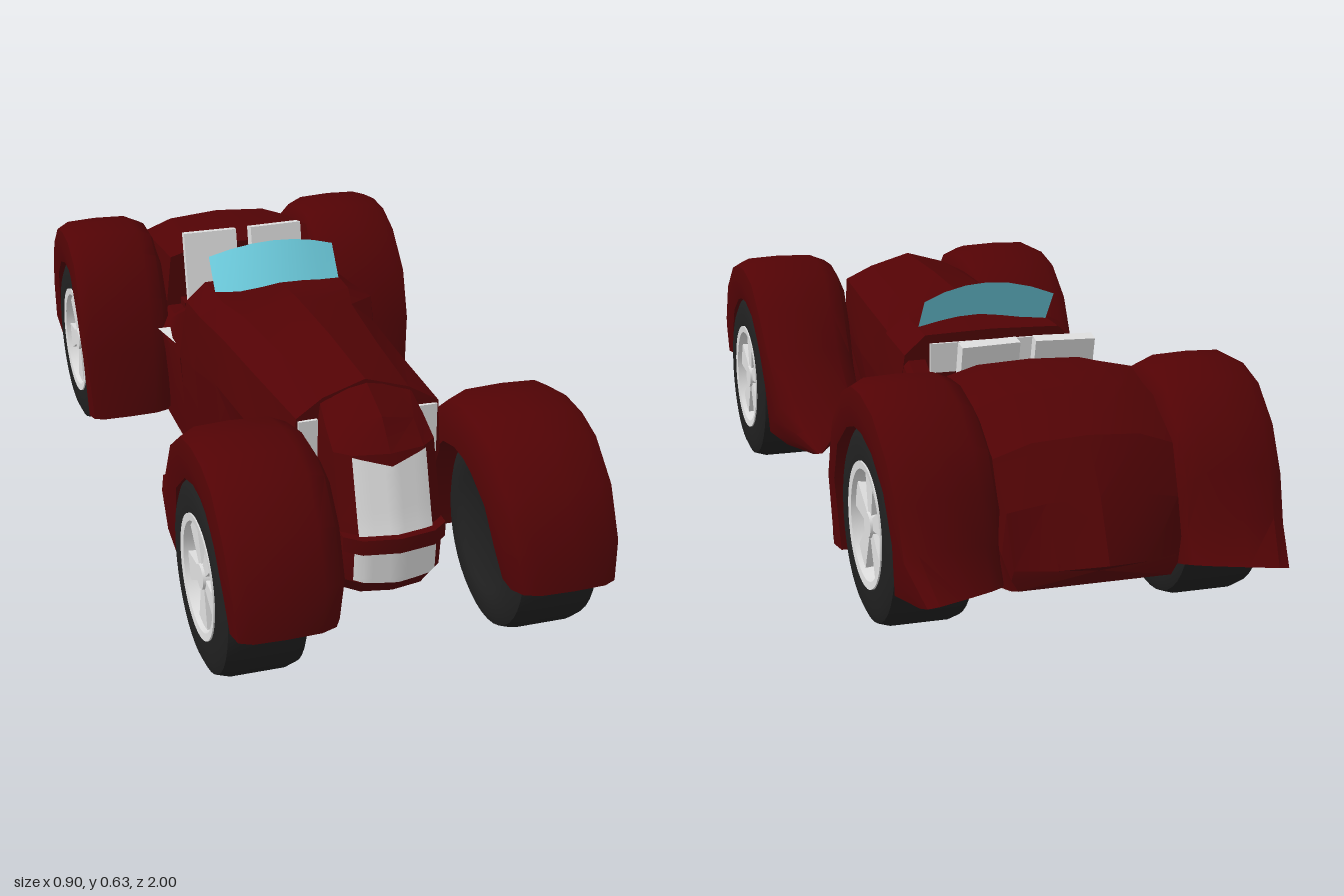
import * as THREE from 'three';
import { toCreasedNormals } from 'three/addons/utils/BufferGeometryUtils.js';

const mat = (name, color, side = THREE.FrontSide) => {
  const m = new THREE.MeshStandardMaterial({ color, side });
  m.name = name;
  return m;
};

// Closed solid through rings of [x, y, z] points; faces always turned outward
function loft(rings, crease = 0.55) {
  const n = rings[0].length, pos = rings.flat(2), idx = [];
  for (let i = 0; i < rings.length - 1; i++)
    for (let j = 0; j < n; j++) {
      const a = i * n + j, b = i * n + (j + 1) % n;
      idx.push(a, b, b + n, a, b + n, a + n);
    }
  [0, rings.length - 1].forEach((r, end) => {
    const c = pos.length / 3;
    for (let k = 0; k < 3; k++) pos.push(rings[r].reduce((s, p) => s + p[k], 0) / n);
    for (let j = 0; j < n; j++) {
      const a = r * n + j, b = r * n + (j + 1) % n;
      idx.push(...(end ? [a, b, c] : [b, a, c]));
    }
  });
  const v = (i) => new THREE.Vector3().fromArray(pos, i * 3);
  let volume = 0;
  for (let i = 0; i < idx.length; i += 3) volume += v(idx[i]).dot(v(idx[i + 1]).cross(v(idx[i + 2])));
  if (volume < 0) idx.reverse();
  const g = new THREE.BufferGeometry();
  g.setAttribute('position', new THREE.Float32BufferAttribute(pos, 3));
  g.setIndex(idx);
  return toCreasedNormals(g, crease);
}

// Symmetric body ring from half a section listed top centre to bottom; point = [x, y, dz]
const bodyRing = (z, half) => {
  const right = half.map(([x, y, dz = 0]) => [x, y, z + dz]);
  const left = right.filter((p) => p[0] > 0).map(([x, y, w]) => [-x, y, w]).reverse();
  return [...right, ...left];
};

// Fender station: top edge, wheel-arch edge, inner and outer x, and how far the inner side is swept in z
const fenderRing = (s, [zt, yt, zl, yl, xi, xo, skew = 0]) => {
  const w = xo - xi;
  return [[xo - 0.04 * w, 0], [xo, 0.4], [xo - 0.03 * w, 0.82], [xo - 0.15 * w, 0.97], [xo - 0.45 * w, 1],
    [xi + 0.22 * w, 0.97], [xi + 0.07 * w, 0.82], [xi, 0.5], [xi, 0]].map(([x, t]) =>
    [s * x, yl + (yt - yl) * t, zl + (zt - zl) * t + skew * (xo - x) / w]);
};

// Grille shell outline: height, front z, half width
const SHELL = [[0.15, 0.75, 0.1], [0.19, 0.78, 0.112], [0.28, 0.785, 0.115], [0.33, 0.765, 0.115],
  [0.47, 0.72, 0.115], [0.53, 0.66, 0.112], [0.565, 0.56, 0.105]];
const noseZ = (zf, u) => zf - (u < 0.7 ? u / 0.7 * 0.014 : 0.014 + (u - 0.7) / 0.3 * 0.03);
const NOSE_U = [-1, -0.7, 0, 0.7, 1];
function shellZ(x, y) {
  const i = Math.max(1, SHELL.findIndex((r) => r[0] >= y));
  const [a, b] = [SHELL[i - 1], SHELL[i]], t = (y - a[0]) / (b[0] - a[0]);
  return noseZ(a[1] + (b[1] - a[1]) * t, Math.abs(x) / (a[2] + (b[2] - a[2]) * t));
}

// Plane bent by a rule (u -1..1, v 0..1) => [x, y, z]
function sheet(nu, nv, rule) {
  const g = new THREE.PlaneGeometry(2, 1, nu, nv), p = g.attributes.position;
  for (let i = 0; i < p.count; i++) p.setXYZ(i, ...rule(p.getX(i), p.getY(i) + 0.5));
  g.computeVertexNormals();
  return g;
}

export function createModel() {
  const root = new THREE.Group();
  const red = mat('dark red paint', 0x520305), white = mat('pale trim', 0xdedede);
  const rubber = mat('black rubber', 0x202020), steel = mat('brake steel', 0x505050);
  const glass = mat('blue glass', 0x70d2e4, THREE.DoubleSide);
  const add = (name, geo, material, parent = root) => {
    const m = new THREE.Mesh(geo, material);
    m.name = name;
    parent.add(m);
    return m;
  };
  const box = (name, w, h, d, x, y, z, material) => {
    const m = add(name, new THREE.BoxGeometry(w, h, d), material);
    m.position.set(x, y, z);
    return m;
  };

  // Bonnet and cowl
  add('bonnet', loft([
    bodyRing(0.57, [[0, 0.57, -0.02], [0.1, 0.54, -0.015], [0.165, 0.505], [0.172, 0.38], [0.11, 0.15]]),
    bodyRing(0.3, [[0, 0.57], [0.115, 0.535], [0.178, 0.49], [0.198, 0.37], [0.14, 0.112]]),
    bodyRing(0.06, [[0, 0.56], [0.135, 0.53], [0.19, 0.48], [0.208, 0.36], [0.19, 0.09]]),
    bodyRing(-0.04, [[0, 0.55], [0.16, 0.53], [0.22, 0.5], [0.235, 0.36], [0.215, 0.077]]),
    bodyRing(-0.19, [[0, 0.53], [0.165, 0.525], [0.215, 0.48], [0.235, 0.34], [0.22, 0.07]]),
  ], 0.3), red);

  // Cockpit sides with cut-down doors, pale sill wedges and seat backs
  for (const s of [1, -1]) {
    const name = s > 0 ? 'left' : 'right';
    add(name + 'Door', loft([[-0.185, 0.47, 0.218], [-0.28, 0.42, 0.214], [-0.38, 0.365, 0.212], [-0.46, 0.36, 0.21]]
      .map(([z, y, x]) => [[s * x, y - 0.012, z], [s * (x - 0.012), y, z], [s * 0.165, y, z],
        [s * 0.165, 0.071, z], [s * 0.215, 0.071, z], [s * 0.236, 0.325, z]])), red);
    add(name + 'SillWedge', loft([[-0.2, 0.222], [-0.35, 0.252]].map(([z, x]) =>
      [[s * x, 0.343, z], [s * x, 0.342, z], [s * 0.2, 0.342, z], [s * 0.2, 0.343, z]])), white);
    box(name + 'BonnetGrille', 0.044, 0.118, 0.008, s * 0.139, 0.44, 0.572, white);
    const seat = box(name + 'SeatBack', 0.138, 0.225, 0.03, s * 0.088, 0.452, -0.415, white);
    seat.rotation.set(-0.22, s * 0.06, 0);
  }
  box('cockpitFloor', 0.33, 0.03, 0.26, 0, 0.34, -0.3, white);
  box('seatBulkhead', 0.33, 0.1, 0.05, 0, 0.33, -0.43, red);
  box('dashboard', 0.31, 0.07, 0.008, 0, 0.47, -0.194, white);

  // Rear deck running down to a pointed tail
  add('rearDeck', loft([
    bodyRing(-0.45, [[0, 0.52], [0.12, 0.515], [0.19, 0.495], [0.21, 0.3], [0.2, 0.07]]),
    bodyRing(-0.54, [[0, 0.53], [0.13, 0.528], [0.21, 0.51], [0.215, 0.3], [0.2, 0.082]]),
    bodyRing(-0.69, [[0, 0.52], [0.13, 0.51], [0.21, 0.48], [0.215, 0.3], [0.2, 0.11]]),
    bodyRing(-0.81, [[0, 0.45, -0.02], [0.12, 0.44, -0.01], [0.2, 0.41], [0.21, 0.28], [0.19, 0.13]]),
    bodyRing(-0.87, [[0, 0.34, -0.04], [0.11, 0.33, -0.02], [0.19, 0.31], [0.2, 0.22], [0.18, 0.14]]),
    bodyRing(-0.89, [[0, 0.21, -0.08], [0.1, 0.2, -0.05], [0.18, 0.19], [0.185, 0.17], [0.17, 0.145]]),
  ], 0.35), red);

  // Pale underside, a thin skin under the whole body
  add('underside', loft([[0.57, 0.15, 0.11], [0.3, 0.112, 0.14], [0.06, 0.09, 0.19], [-0.04, 0.077, 0.215],
    [-0.19, 0.07, 0.22], [-0.45, 0.07, 0.21], [-0.54, 0.082, 0.2], [-0.69, 0.11, 0.2], [-0.81, 0.13, 0.19],
    [-0.86, 0.139, 0.18]].map(([z, y, w]) =>
    [[w, y - 0.001, z], [-w, y - 0.001, z], [-w, y - 0.003, z], [w, y - 0.003, z]])), white);

  // Upright nose shell with two bowed grille panels and a bar between them
  add('grilleShell', loft(SHELL.map(([y, zf, w]) => [[-w, y - (y > 0.5 ? 0.03 : 0), 0.54],
    ...NOSE_U.map((u) => [u * w, y - (y > 0.5 ? 0.03 * Math.abs(u) : 0), Math.max(0.545, noseZ(zf, Math.abs(u)))]),
    [w, y - (y > 0.5 ? 0.03 : 0), 0.54]]), 0.4), red);
  add('grilleBar', loft([0.27, 0.305].map((y) => [[-0.117, y, 0.66],
    ...NOSE_U.map((u) => [u * 0.117, y, noseZ(0.8, Math.abs(u))]), [0.117, y, 0.66]])), red);
  // Bowed panel with a notched top edge and a dipped bottom edge
  const panel = (name, w, y0, y1, notch, dip) => add(name, sheet(10, 8, (u, v) => {
    const x = u * w, y = y0 + dip * u * u * (1 - v) + (y1 - y0 - notch * (1 - Math.abs(u))) * v;
    return [x, y, shellZ(x, y) + 0.006];
  }), white);
  panel('upperGrille', 0.084, 0.3, 0.468, 0.022, 0);
  panel('lowerGrille', 0.094, 0.19, 0.275, 0, 0.006);

  // Curved windscreen set into the cowl
  add('windscreen', sheet(6, 1, (u, v) => {
    const c = 1 - u * u;
    return [u * 0.16, 0.515 + 0.02 * c + v * (0.085 + 0.013 * c), -0.105 + 0.02 * c - 0.065 * v];
  }), glass);

  // Fenders
  const front = [
    [1.0, 0.235, 0.908, 0.235, 0.19, 0.422], [0.99, 0.33, 0.888, 0.306, 0.175, 0.43],
    [0.93, 0.44, 0.84, 0.378, 0.17, 0.434], [0.84, 0.518, 0.771, 0.423, 0.165, 0.434],
    [0.76, 0.541, 0.728, 0.435, 0.165, 0.434], [0.67, 0.544, 0.671, 0.437, 0.165, 0.434],
    [0.57, 0.525, 0.594, 0.414, 0.17, 0.433], [0.47, 0.455, 0.51, 0.346, 0.18, 0.432],
    [0.39, 0.36, 0.474, 0.25, 0.185, 0.425], [0.28, 0.26, 0.47, 0.125, 0.18, 0.415],
    [0.2, 0.2, 0.34, 0.125, 0.25, 0.392], [0.11, 0.165, 0.16, 0.15, 0.345, 0.36]];
  const rear = [
    [-0.33, 0.11, -0.415, 0.1, 0.22, 0.437], [-0.355, 0.28, -0.395, 0.265, 0.215, 0.447],
    [-0.4, 0.41, -0.442, 0.358, 0.21, 0.45], [-0.48, 0.505, -0.518, 0.418, 0.205, 0.447],
    [-0.56, 0.54, -0.58, 0.437, 0.2, 0.446], [-0.64, 0.543, -0.64, 0.437, 0.2, 0.445],
    [-0.73, 0.52, -0.712, 0.412, 0.2, 0.442], [-0.82, 0.45, -0.784, 0.35, 0.195, 0.437],
    [-0.885, 0.36, -0.824, 0.25, 0.195, 0.43, 0.01], [-0.925, 0.26, -0.825, 0.14, 0.195, 0.425, 0.03],
    [-1.01, 0.175, -0.92, 0.15, 0.2, 0.4, 0.08]];

  // Wheel parts, spinning about y and turned outward later
  const lathe = (pts) => toCreasedNormals(new THREE.LatheGeometry(pts.map((p) => new THREE.Vector2(...p)), 40), 0.6);
  const tyreGeo = lathe([[0, -0.09], [0.13, -0.09], [0.14, -0.096], [0.19, -0.096], [0.212, -0.086], [0.22, -0.06],
    [0.22, 0.06], [0.212, 0.086], [0.19, 0.096], [0.14, 0.094], [0.135, 0.05], [0, 0.05]]);
  const rimGeo = lathe([[0.137, 0.05], [0.139, 0.097], [0.122, 0.095], [0.116, 0.05]]);
  const spokeGeo = new THREE.ExtrudeGeometry(new THREE.Shape([[0.02, -0.012], [0.12, -0.034], [0.12, 0.034], [0.02, 0.012]]
    .map((p) => new THREE.Vector2(...p))), { depth: 0.02, bevelEnabled: false }).rotateX(-Math.PI / 2);
  const hubGeo = new THREE.CylinderGeometry(0.028, 0.032, 0.03, 20);
  const discGeo = new THREE.CylinderGeometry(0.09, 0.09, 0.012, 32);

  for (const [end, z, stations] of [['front', 0.69, front], ['rear', -0.61, rear]])
    for (const s of [1, -1]) {
      add(end + 'Fender', loft(stations.map((st) => fenderRing(s, st)), 0.75), red);
      const wheel = new THREE.Group();
      wheel.name = end + 'Wheel';
      add('tyre', tyreGeo, rubber, wheel);
      add('rim', rimGeo, white, wheel);
      add('brakeDisc', discGeo, steel, wheel).position.y = 0.051;
      add('hub', hubGeo, white, wheel).position.y = 0.075;
      for (let i = 0; i < 5; i++) {
        const spoke = add('spoke', spokeGeo, white, wheel);
        spoke.position.y = 0.064;
        spoke.rotation.y = i * Math.PI * 0.4 + Math.PI / 5;
      }
      wheel.position.set(s * 0.328, 0.223, z);
      wheel.rotation.z = -s * Math.PI / 2;
      root.add(wheel);
    }
  return root;
}
